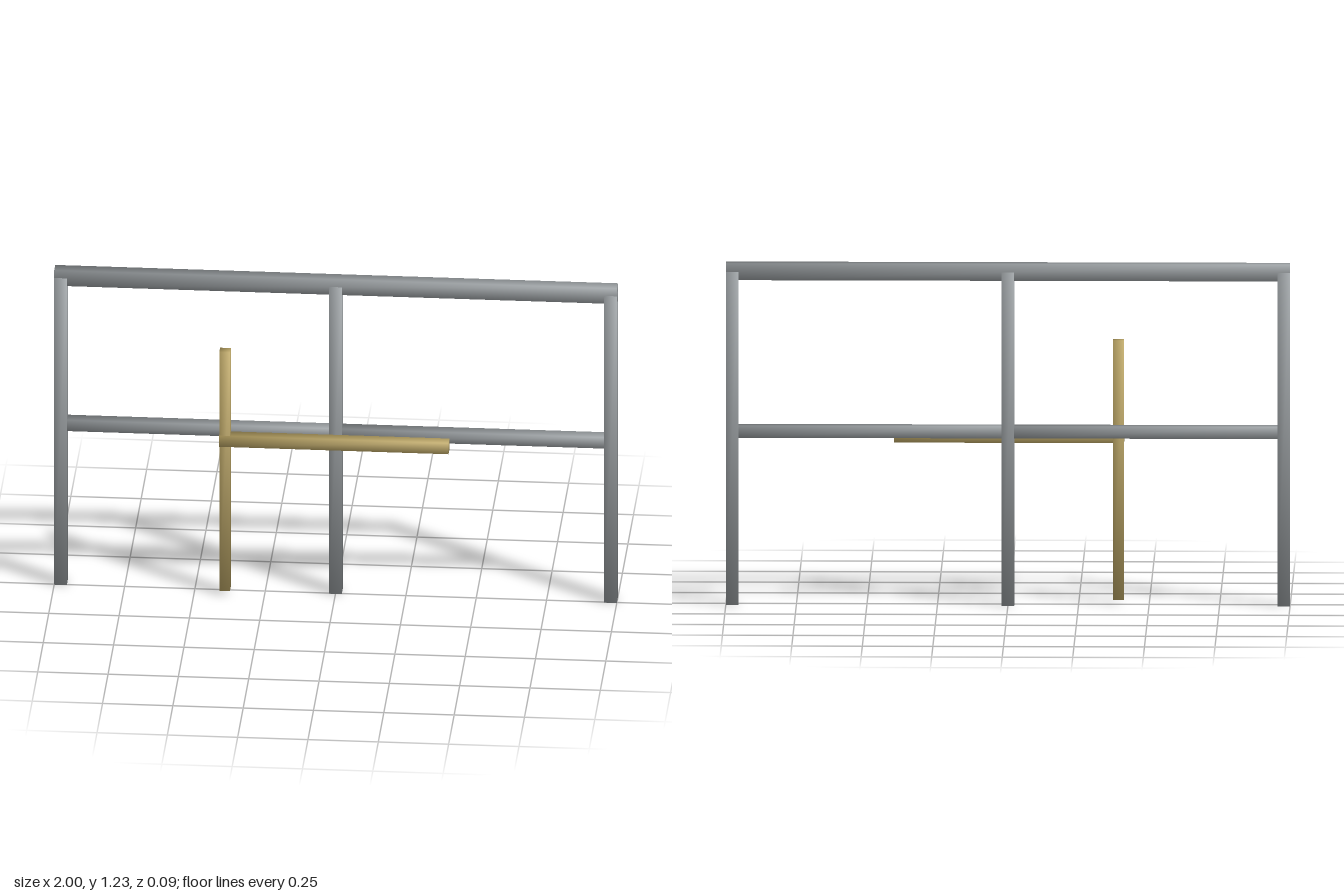
import * as THREE from 'three';

const metal = new THREE.MeshStandardMaterial({ color: 0x9a9fa2 });
const wood = new THREE.MeshStandardMaterial({ color: 0xbda766 });

// Square bar between two corners, with normals softened across its edges
function bar(name, material, [x0, x1], [y0, y1], [z0, z1]) {
  const geometry = new THREE.BoxGeometry(x1 - x0, y1 - y0, z1 - z0);
  const { position, normal } = geometry.attributes;
  const n = new THREE.Vector3();
  for (let i = 0; i < position.count; i++) {
    n.set(Math.sign(position.getX(i)), Math.sign(position.getY(i)), Math.sign(position.getZ(i))).normalize();
    normal.setXYZ(i, n.x, n.y, n.z);
  }
  const mesh = new THREE.Mesh(geometry, material);
  mesh.name = name;
  mesh.position.set((x0 + x1) / 2, (y0 + y1) / 2, (z0 + z1) / 2);
  return mesh;
}

export function createModel() {
  const model = new THREE.Group();
  model.name = 'railing';

  // Metal frame: three posts, set a hair proud of the rails
  const frameZ = [-0.042, 0.004];
  const postZ = [-0.043, 0.005];
  const half = 0.0225;
  [['rightPost', -0.9775], ['middlePost', 0], ['leftPost', 0.9775]].forEach(([name, x]) =>
    model.add(bar(name, metal, [x - half, x + half], [0, 1.195], postZ)));

  // Top rail and the two halves of the middle rail
  model.add(bar('topRail', metal, [-1, 1], [1.165, 1.225], frameZ));
  model.add(bar('rightMiddleRail', metal, [-0.955, -half], [0.6, 0.643], frameZ));
  model.add(bar('leftMiddleRail', metal, [half, 0.955], [0.6, 0.643], frameZ));

  // Wooden upright and crossbar in front of the frame
  model.add(bar('woodenUpright', wood, [-0.41, -0.372], [0.015, 0.945], [0.005, 0.044]));
  model.add(bar('woodenCrossbar', wood, [-0.411, 0.405], [0.577, 0.62], [0.005, 0.045]));

  return model;
}
